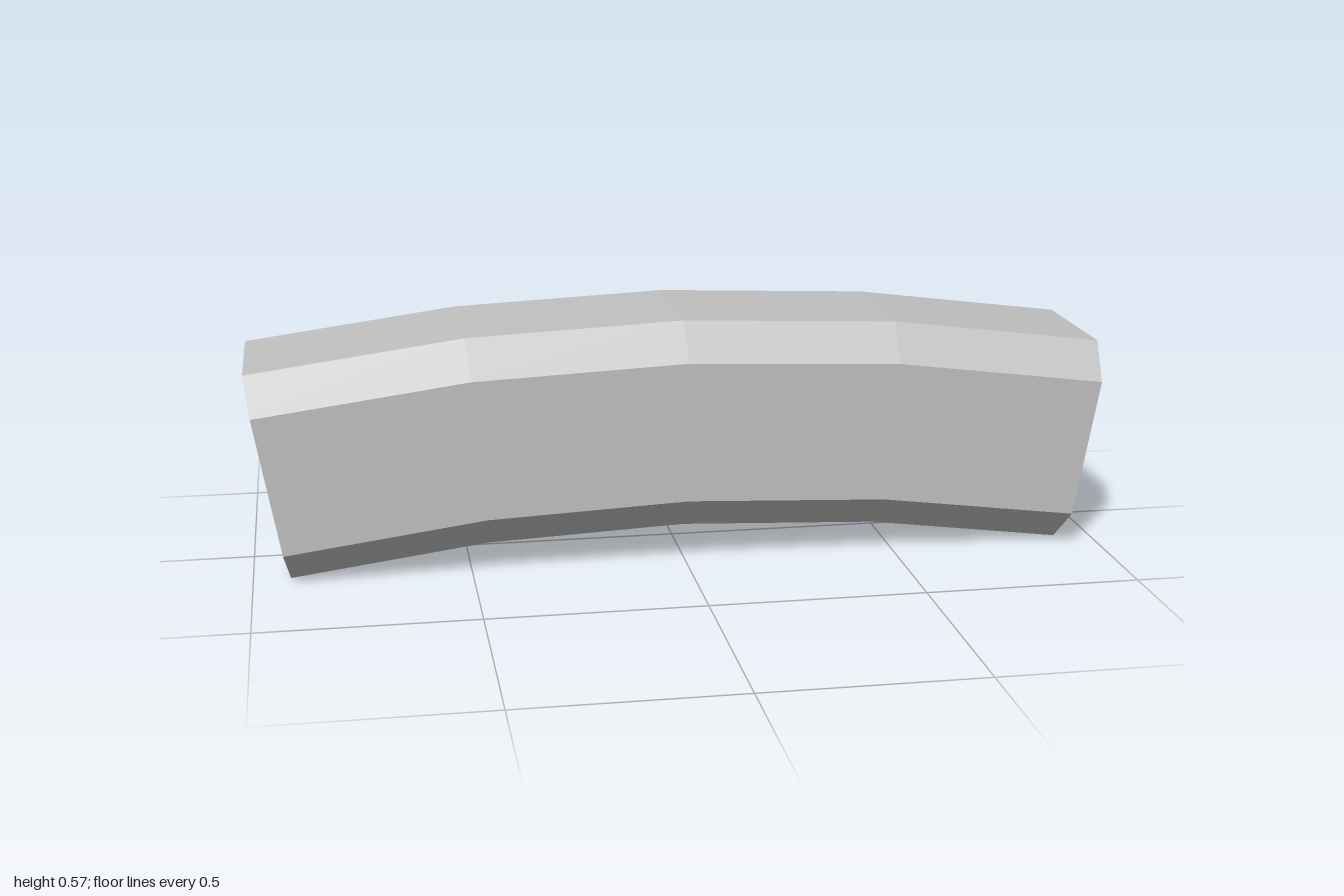
import * as THREE from 'three';

// Gently arched, chamfered square bar with dark end caps
export function createModel() {
  const grey = new THREE.MeshStandardMaterial({ color: 0xc0c0c0, flatShading: true });
  grey.name = 'light grey';
  const dark = new THREE.MeshStandardMaterial({ color: 0x202020, flatShading: true });
  dark.name = 'near black';

  const halfAngle = THREE.MathUtils.degToRad(10);
  const outerRadius = 1 / Math.sin(halfAngle);
  const h = 0.246; // half width of the section
  const c = 0.164; // half width of each flat between chamfers
  const innerRadius = outerRadius - 2 * h;

  // Octagonal section
  const section = new THREE.Shape(
    [[c, -h], [h, -c], [h, c], [c, h], [-c, h], [-h, c], [-h, -c], [-c, -h]]
      .map(([x, y]) => new THREE.Vector2(x, y))
  );

  // Extrude along an angle, then bend into the arch
  const geometry = new THREE.ExtrudeGeometry(section, {
    depth: 2 * halfAngle, steps: 4, bevelEnabled: false,
  });
  const p = geometry.attributes.position;
  const baseY = -innerRadius * Math.cos(halfAngle);
  for (let i = 0; i < p.count; i++) {
    const angle = p.getZ(i) - halfAngle;
    const r = outerRadius - h + p.getY(i);
    p.setXYZ(i, r * Math.sin(angle), r * Math.cos(angle) + baseY, -p.getX(i));
  }
  geometry.computeVertexNormals();

  // Extrude groups: end caps first, then the sides
  const bar = new THREE.Mesh(geometry, [dark, grey]);
  bar.name = 'archedBar';

  const group = new THREE.Group();
  group.name = 'archedBeam';
  group.add(bar);
  return group;
}
